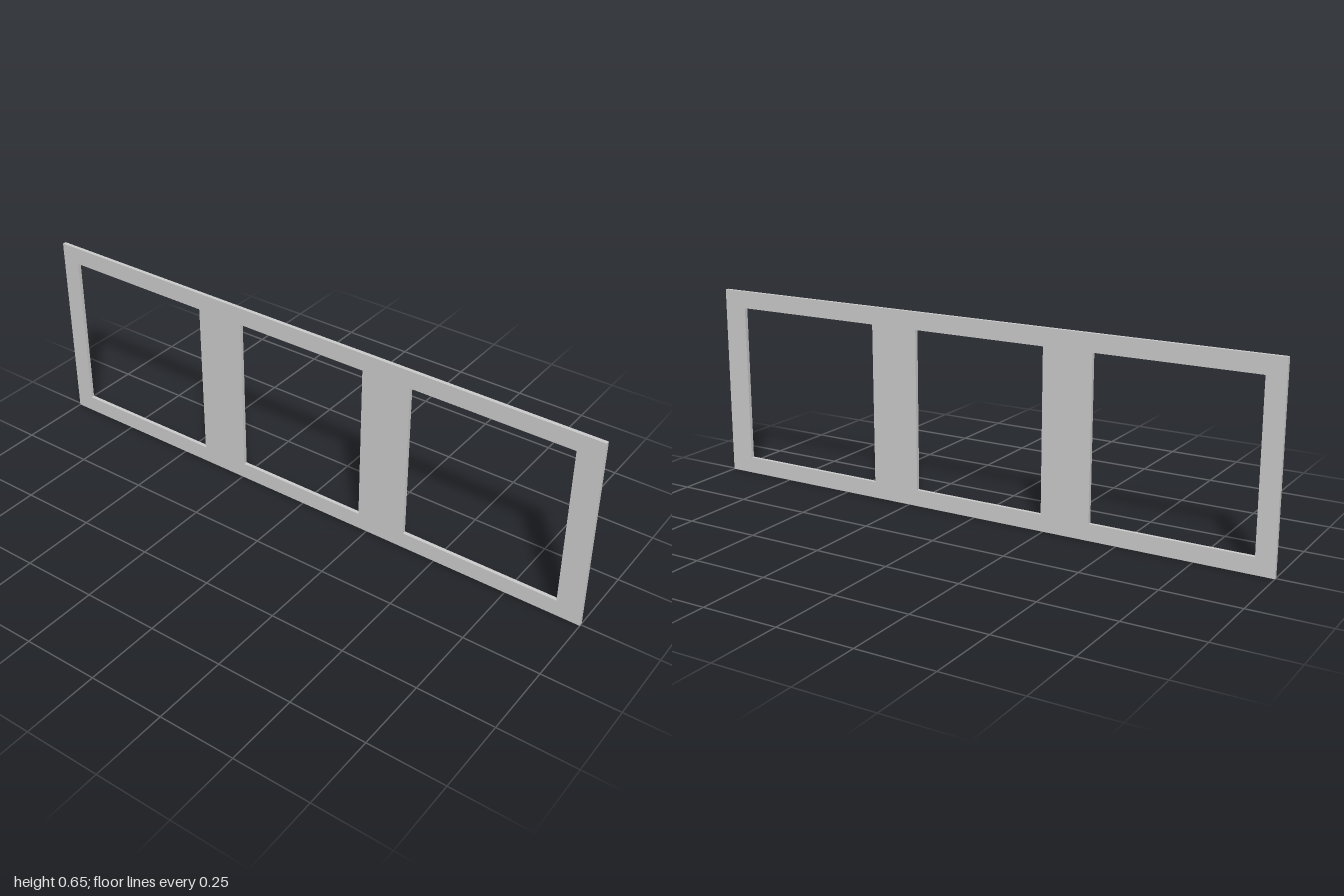
import * as THREE from 'three';

const HEIGHT = 0.647, THICKNESS = 0.0125;
const SILL = 0.055, HEAD = 0.589;
// z range of each window opening
const OPENINGS = [[0.385, 0.918], [-0.242, 0.218], [-0.938, -0.408]];

// Rectangle outline, drawn with -z along the shape's x axis
function rectangle(path, z0, z1, y0, y1) {
  path.moveTo(-z1, y0);
  path.lineTo(-z0, y0);
  path.lineTo(-z0, y1);
  path.lineTo(-z1, y1);
  path.closePath();
  return path;
}

export function createModel() {
  const group = new THREE.Group();
  group.name = 'windowFrame';

  // Flat panel with three openings
  const outline = rectangle(new THREE.Shape(), -1, 1, 0, HEIGHT);
  for (const [z0, z1] of OPENINGS) {
    outline.holes.push(rectangle(new THREE.Path(), z0, z1, SILL, HEAD));
  }
  const geometry = new THREE.ExtrudeGeometry(outline, { depth: THICKNESS, bevelEnabled: false });
  geometry.translate(0, 0, -THICKNESS / 2);
  geometry.rotateY(Math.PI / 2);

  const panel = new THREE.Mesh(geometry, new THREE.MeshStandardMaterial({ color: 0xcccccc }));
  panel.name = 'framePanel';
  group.add(panel);
  return group;
}
